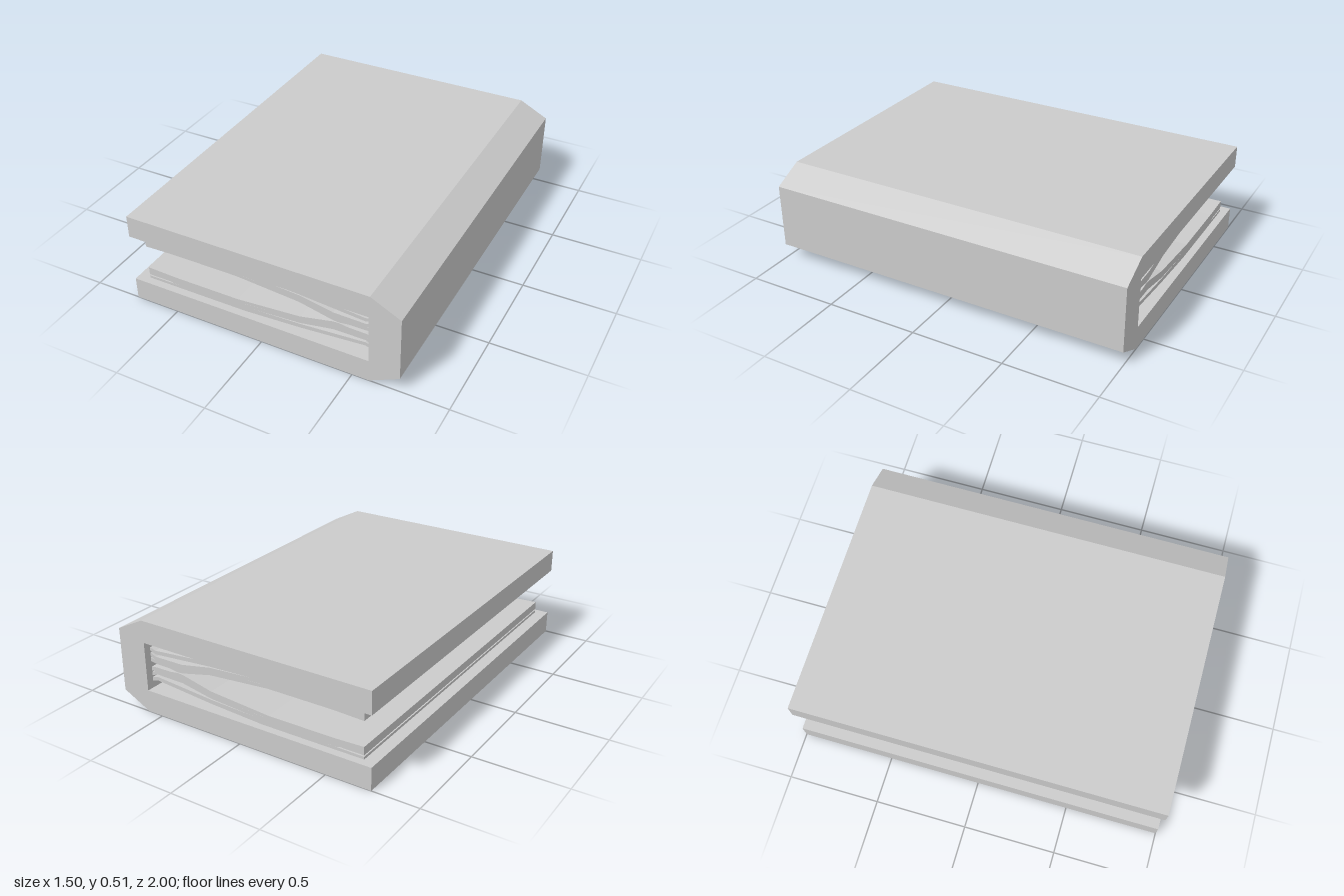
import * as THREE from 'three';

const MID = 0.256; // height of the mirror plane between the two halves

const material = new THREE.MeshStandardMaterial({ color: 0xcccccc, flatShading: true });

// Extrude an outline in the x-y plane, centred along z
function slab(name, points, depth) {
  const shape = new THREE.Shape(points.map(([x, y]) => new THREE.Vector2(x, y)));
  const geometry = new THREE.ExtrudeGeometry(shape, { depth, bevelEnabled: false });
  geometry.translate(0, 0, -depth / 2);
  const mesh = new THREE.Mesh(geometry, material);
  mesh.name = name;
  return mesh;
}

// Sections of each bent page bundle of the upper half: [x, top, bottom]
const bundles = {
  outerPages: [
    [-0.685, 0.389, 0.375], [-0.4, 0.389, 0.371], [-0.11, 0.389, 0.362],
    [0.2, 0.371, 0.348], [0.55, 0.34, 0.32], [0.59, 0.352, 0.332],
  ],
  middlePages: [
    [-0.685, 0.367, 0.342], [-0.55, 0.367, 0.345], [-0.54, 0.372, 0.345],
    [-0.4, 0.372, 0.347], [-0.11, 0.363, 0.345], [0.2, 0.342, 0.322],
    [0.38, 0.308, 0.286], [0.55, 0.306, 0.286], [0.59, 0.322, 0.302],
  ],
  innerPages: [
    [-0.685, 0.343, 0.323], [-0.52, 0.347, 0.329], [-0.15, 0.347, 0.329],
    [0.2, 0.323, 0.301], [0.38, 0.287, 0.26], [0.41, 0.287, 0.258],
    [0.46, 0.287, 0.265], [0.55, 0.287, 0.266], [0.59, 0.294, 0.272],
  ],
};

export function createModel() {
  const book = new THREE.Group();
  book.name = 'book';

  // C-shaped cover with a chamfered spine
  book.add(slab('cover', [
    [-0.748, 0], [0.59, 0], [0.748, 0.08], [0.748, 0.432], [0.59, 0.512], [-0.748, 0.512],
    [-0.748, 0.39], [0.585, 0.39], [0.585, 0.122], [-0.748, 0.122],
  ], 2));

  // Page bundles, mirrored above and below the middle
  for (const [name, sections] of Object.entries(bundles)) {
    const outline = [
      ...sections.map(([x, , bottom]) => [x, bottom]),
      ...sections.map(([x, top]) => [x, top]).reverse(),
    ];
    book.add(slab(name + 'Upper', outline, 1.92));
    const mirrored = outline.map(([x, y]) => [x, 2 * MID - y]);
    book.add(slab(name + 'Lower', mirrored, 1.92));
  }
  return book;
}
